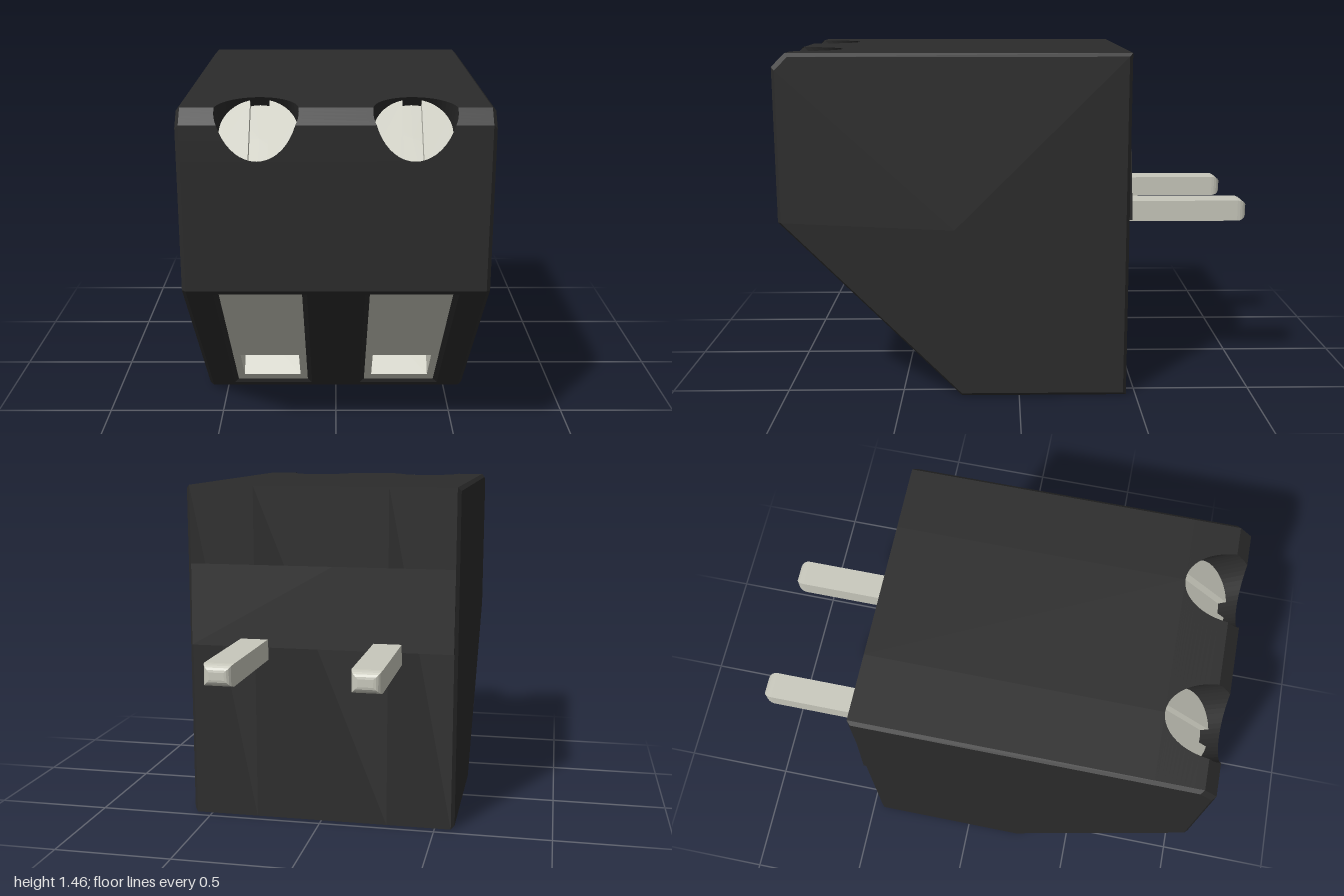
import * as THREE from 'three';

const plastic = new THREE.MeshStandardMaterial({ color: 0x2b2b2b, side: THREE.DoubleSide, flatShading: true });
const metal = new THREE.MeshStandardMaterial({ color: 0xc8c8bc });

const HALF = 0.585, BEVEL = 0.015, COLS = [-0.29, 0.29];
const TOP = 1.46, BACK = -0.46, CH = 0.055, KNEE = 0.765, TOE = 0.245;
const HOLE_R = 0.155, HOLE_D = 0.49; // screw bore: radius, and y - z along its tilted axis
const SLOT_X = 0.18, SLOT_LO = 0.025, SLOT_HI = 0.745; // wire openings in the slope
const slopeZ = (y) => TOE + (y / KNEE) * (1 - TOE);

// Geometry from four-cornered faces, counter-clockwise from outside
function quadGeometry(quads) {
  const pos = [];
  for (const [a, b, c, d] of quads) pos.push(...a, ...b, ...c, ...a, ...c, ...d);
  const g = new THREE.BufferGeometry();
  g.setAttribute('position', new THREE.Float32BufferAttribute(pos, 3));
  g.computeVertexNormals();
  return g;
}

function mesh(name, geometry, material, parent) {
  const m = new THREE.Mesh(geometry, material);
  m.name = name;
  parent.add(m);
  return m;
}

// Point [y, z] on the top, chamfer or front face for a given d = y - z
function surf(d) {
  const dTop = TOP - (1 - CH), dFront = TOP - CH - 1, sum = TOP + 1 - CH;
  if (d >= dTop) return [TOP, TOP - d];
  if (d <= dFront) return [1 + d, 1];
  return [(sum + d) / 2, (sum - d) / 2];
}

function housingGeometry() {
  const quads = [];
  const span = HOLE_R * Math.SQRT2;

  // Rows around the profile: [y, z, half width of the opening in each column]
  const ds = [TOP - 1 + CH, TOP - CH - 1];
  for (let i = 0; i <= 32; i++) ds.push(HOLE_D + span * Math.sin(-Math.PI / 2 + (Math.PI * i) / 32));
  ds.sort((a, b) => b - a);
  const rows = [[TOP, BACK, 0]];
  for (const d of ds) {
    const k = (d - HOLE_D) / span;
    rows.push([...surf(d), HOLE_R * Math.sqrt(Math.max(0, 1 - k * k))]);
  }
  rows.push([KNEE, 1, 0]);
  for (const [y, w] of [[SLOT_HI, 0], [SLOT_HI, SLOT_X], [SLOT_LO, SLOT_X], [SLOT_LO, 0], [0, 0]]) {
    rows.push([y, slopeZ(y), w]);
  }
  rows.push([0, BACK, 0], [TOP, BACK, 0]);

  const edge = HALF - BEVEL;
  const strips = (w) => [[-edge, COLS[0] - w], [COLS[0] + w, COLS[1] - w], [COLS[1] + w, edge]];
  for (let i = 0; i < rows.length - 1; i++) {
    const [y0, z0, w0] = rows[i], [y1, z1, w1] = rows[i + 1];
    const s0 = strips(w0), s1 = strips(w1);
    for (let k = 0; k < 3; k++) {
      quads.push([[s0[k][0], y0, z0], [s1[k][0], y1, z1], [s1[k][1], y1, z1], [s0[k][1], y0, z0]]);
    }
  }

  // Side walls with a narrow bevel
  const corners = [[TOP, BACK], [TOP, 1 - CH], [TOP - CH, 1], [KNEE, 1], [0, TOE], [0, BACK]];
  const inset = corners.map(([y, z]) => [0.73 + (y - 0.73) * 0.98, 0.27 + (z - 0.27) * 0.98]);
  for (const s of [-1, 1]) {
    corners.forEach((c, i) => {
      const j = (i + 1) % corners.length;
      const mid = [s * HALF, 0.73, 0.27];
      const o0 = [s * edge, ...c], o1 = [s * edge, ...corners[j]];
      const p0 = [s * HALF, ...inset[i]], p1 = [s * HALF, ...inset[j]];
      const faces = [[o0, o1, p1, p0], [p0, p1, mid, mid]];
      for (const f of faces) quads.push(s > 0 ? f : f.reverse());
    });
  }

  // Tilted bore walls behind the screws
  for (const x of COLS) {
    const ring = (i) => {
      const t = (i / 48) * Math.PI * 2, d = HOLE_D + span * Math.sin(t), px = x + HOLE_R * Math.cos(t);
      return [[px, ...surf(d)], [px, (2.06 + d) / 2, (2.06 - d) / 2]];
    };
    for (let i = 0; i < 48; i++) {
      const [a, b] = ring(i), [c, e] = ring(i + 1);
      quads.push([a, c, e, b]);
    }
  }
  return quadGeometry(quads);
}

// Slotted screw: a core disc and two raised half heads
function makeScrew() {
  const g = new THREE.Group();
  g.name = 'screw';
  const r = 0.15, a = Math.acos(0.037 / r);
  const core = mesh('screwCore', new THREE.CylinderGeometry(r, r, 0.06, 40), metal, g);
  core.rotation.x = Math.PI / 2;
  core.position.z = -0.07;
  for (const turn of [0, Math.PI]) {
    const half = new THREE.Shape().absarc(0, 0, r, turn - a, turn + a, false);
    const geo = new THREE.ExtrudeGeometry(half, { depth: 0.05, bevelEnabled: false, curveSegments: 24 });
    mesh('screwHeadHalf', geo, metal, g).position.z = -0.05;
  }
  return g;
}

function rectPath(Type, x, lo, hi) {
  const p = new Type();
  p.moveTo(-x, lo);
  p.lineTo(x, lo);
  p.lineTo(x, hi);
  p.lineTo(-x, hi);
  p.closePath();
  return p;
}

// Wire entry: bevelled rim, contact plate and its rectangular socket
function makeWireEntry() {
  const g = new THREE.Group();
  g.name = 'wireEntry';
  const v = ((SLOT_HI - SLOT_LO) / 2) * Math.SQRT2, sink = 0.012, lip = 0.02;
  const ring = (x, y, z) => [[-x, -y, z], [x, -y, z], [x, y, z], [-x, y, z]];
  const outer = ring(SLOT_X, v, 0), inner = ring(SLOT_X - lip, v - lip, -sink);
  const rim = outer.map((p, i) => [p, outer[(i + 1) % 4], inner[(i + 1) % 4], inner[i]]);
  mesh('entryRim', quadGeometry(rim), plastic, g);

  const shape = rectPath(THREE.Shape, SLOT_X - lip, lip - v, v - lip);
  shape.holes.push(rectPath(THREE.Path, 0.128, -0.43, -0.18));
  const plate = new THREE.ExtrudeGeometry(shape, { depth: 0.3, bevelEnabled: false });
  mesh('contactPlate', plate, metal, g).position.z = -0.3 - sink;
  mesh('socketEnd', new THREE.BoxGeometry(0.3, 0.3, 0.02), metal, g).position.set(0, -0.305, -0.32);
  return g;
}

export function createModel() {
  const model = new THREE.Group();
  model.name = 'terminalBlock';
  mesh('housing', housingGeometry(), plastic, model);

  // Slightly proud, tapering rear cover
  const wedge = new THREE.Shape([[0.45, 1.42], [0.472, 0.77], [0.45, 0.77]].map(([x, y]) => new THREE.Vector2(x, y)));
  const width = 2 * (HALF - BEVEL);
  const cover = mesh('rearCover', new THREE.ExtrudeGeometry(wedge, { depth: width, bevelEnabled: false }), plastic, model);
  cover.rotation.y = Math.PI / 2;
  cover.position.x = -width / 2;

  for (const x of COLS) {
    const screw = makeScrew();
    screw.rotation.x = -Math.PI / 4;
    screw.position.set(x, 1.345, 0.855);

    const entry = makeWireEntry();
    const y = (SLOT_LO + SLOT_HI) / 2;
    entry.rotation.x = Math.atan2(1 - TOE, KNEE);
    entry.position.set(x, y, slopeZ(y));
    model.add(screw, entry);

    // Rear pin with a rounded tip
    const pinGeo = new THREE.ExtrudeGeometry(rectPath(THREE.Shape, 0.06, -0.045, 0.045), {
      depth: 0.52, bevelThickness: 0.04, bevelSize: 0.03, bevelOffset: -0.03, bevelSegments: 5,
    });
    const pin = mesh('pin', pinGeo, metal, model);
    pin.rotation.y = Math.PI;
    pin.position.set(x, 0.76, -0.44);
  }
  return model;
}
